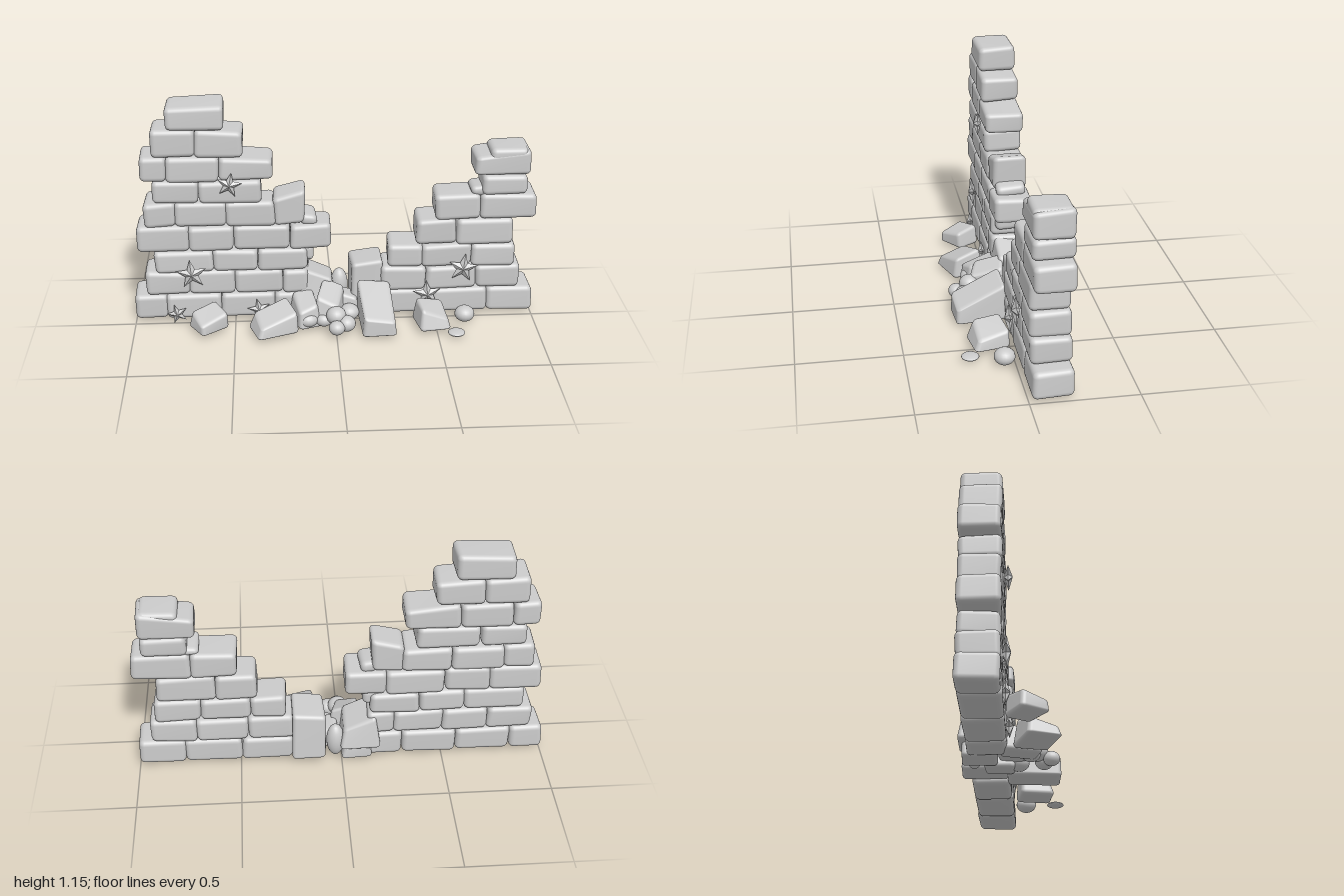
import * as THREE from 'three';
import { RoundedBoxGeometry } from 'three/addons/geometries/RoundedBoxGeometry.js';
import { mergeVertices } from 'three/addons/utils/BufferGeometryUtils.js';

const stone = new THREE.MeshStandardMaterial({ color: 0xcccccc });
const starMaterial = new THREE.MeshStandardMaterial({ color: 0xcccccc, flatShading: true });

let seed = 7;
const rand = () => {
  seed = (seed * 16807) % 2147483647;
  return (seed / 2147483647) * 2 - 1;
};

// Rounded block whose eight corners are shifted, blended through its volume.
// shift(i) gives the offset of corner i (bit 0: +x, bit 1: +y, bit 2: +z).
function stoneBlock(w, h, d, radius, shift) {
  let g = new RoundedBoxGeometry(w, h, d, 3, Math.min(radius, w * 0.45, h * 0.45, d * 0.45));
  g.deleteAttribute('normal');
  g.deleteAttribute('uv');
  g.clearGroups();
  g = mergeVertices(g, 1e-5);
  const corners = Array.from({ length: 8 }, (_, i) => shift(i));
  const p = g.attributes.position;
  const v = new THREE.Vector3();
  for (let n = 0; n < p.count; n++) {
    v.fromBufferAttribute(p, n);
    const t = [v.x / w + 0.5, v.y / h + 0.5, v.z / d + 0.5];
    corners.forEach((c, i) => {
      const weight = t.reduce((m, u, k) => m * ((i >> k) & 1 ? u : 1 - u), 1);
      v.addScaledVector(c, weight);
    });
    p.setXYZ(n, v.x, v.y, v.z);
  }
  g.computeVertexNormals();
  return g;
}

function add(parent, name, geometry, x, y, z, material = stone) {
  const mesh = new THREE.Mesh(geometry, material);
  mesh.name = name;
  mesh.position.set(x, y, z);
  parent.add(mesh);
  return mesh;
}

// Wall brick; dropLeft and dropRight lower its upper corners.
function brick(parent, x0, x1, y0, y1, dropLeft = 0, dropRight = 0, depth = 0.19) {
  const j = y0 < 0.02 ? 0.003 : 0.007;
  const g = stoneBlock(x1 - x0 + 0.002, y1 - y0 + 0.002, depth, 0.026, (i) =>
    new THREE.Vector3(rand() * 0.006, rand() * j - (i & 2 ? (i & 1 ? dropRight : dropLeft) : 0), rand() * 0.004));
  add(parent, 'brick', g, (x0 + x1) / 2, (y0 + y1) / 2, -0.11);
}

// Loose stone; heights are its top corners: back left, back right, front left, front right.
function rock(parent, { x, z, w, d, turn = 0, base = 0.01, heights, shrink = 0.18 }) {
  const h = Math.max(...heights) - base;
  const g = stoneBlock(w, h, d, 0.022, (i) => {
    const sx = i & 1 ? -1 : 1, sz = i & 4 ? -1 : 1;
    const top = i & 2 ? 1 : 0;
    const drop = top ? base + h - heights[(i & 1) + (i & 4 ? 2 : 0)] : 0;
    return new THREE.Vector3(
      sx * top * shrink * w * 0.5 + rand() * 0.012, -drop, sz * top * shrink * d * 0.5 + rand() * 0.012);
  });
  add(parent, 'rubbleRock', g, x, base + h / 2, z).rotation.y = turn;
}

// Five-pointed star with a raised centre on both sides.
function starGeometry(r, thickness) {
  const ring = [];
  for (let i = 0; i < 10; i++) {
    const a = Math.PI / 2 + (i * Math.PI) / 5, q = i % 2 ? r * 0.42 : r;
    ring.push([Math.cos(a) * q, Math.sin(a) * q, 0]);
  }
  const pos = [];
  ring.forEach((a, i) => {
    const b = ring[(i + 1) % 10];
    pos.push(...a, ...b, 0, 0, thickness, ...b, ...a, 0, 0, -thickness);
  });
  const g = new THREE.BufferGeometry();
  g.setAttribute('position', new THREE.Float32BufferAttribute(pos, 3));
  g.computeVertexNormals();
  return g;
}

export function createModel() {
  seed = 7;
  const model = new THREE.Group();
  model.name = 'ruinedWall';
  const group = (name) => {
    const g = new THREE.Group();
    g.name = name;
    model.add(g);
    return g;
  };

  // Each course lists the joints between its bricks.
  const courses = (parent, levels, rows, drops) => rows.forEach((joints, r) => {
    for (let i = 0; i + 1 < joints.length; i++) {
      const last = i === joints.length - 2;
      brick(parent, joints[i], joints[i + 1], levels[r], levels[r + 1], ...((last && drops[r]) || []));
    }
  });

  // Tall side
  const tall = group('tallWall');
  courses(tall, [0.01, 0.14, 0.265, 0.38, 0.51, 0.635, 0.75, 0.875, 1.01, 1.135], [
    [-1, -0.84, -0.57, -0.3, -0.13],
    [-0.94, -0.72, -0.5, -0.26, -0.13],
    [-0.89, -0.6, -0.38, -0.14],
    [-0.97, -0.72, -0.5, -0.22, -0.02],
    [-0.93, -0.78, -0.53, -0.29],
    [-0.88, -0.66, -0.36],
    [-0.94, -0.81, -0.56, -0.3],
    [-0.88, -0.67, -0.44],
    [-0.8, -0.53],
  ], { 6: [0, 0.025], 7: [0, 0.015], 8: [0.01, 0] });
  brick(tall, -0.3, -0.145, 0.51, 0.685, 0.04, 0, 0.17);
  brick(tall, -0.17, -0.09, 0.5, 0.56, 0, 0.015, 0.15);
  brick(tall, -0.2, -0.1, 0.31, 0.39, 0, 0, 0.15);

  // Low side
  const low = group('lowWall');
  courses(low, [0.01, 0.14, 0.265, 0.385, 0.52, 0.65, 0.75], [
    [0.24, 0.49, 0.77, 1],
    [0.235, 0.46, 0.71, 0.93],
    [0.27, 0.44, 0.68, 0.905],
    [0.405, 0.605, 0.89],
    [0.495, 0.715, 0.995],
    [0.73, 0.94],
  ], {});
  brick(low, 0.685, 0.955, 0.75, 0.89, 0.05, 0.005);
  brick(low, 0.76, 0.94, 0.82, 0.892, 0.01, 0.005, 0.18);
  brick(low, 0.675, 0.77, 0.64, 0.69, 0.01, 0, 0.15);

  // Fallen stones
  const rubble = group('rubble');
  [
    { x: -0.63, z: 0.09, w: 0.17, d: 0.14, turn: 0.57, heights: [0.1, 0.12, 0.06, 0.1] },
    { x: -0.305, z: 0.125, w: 0.22, d: 0.17, turn: 0.35, heights: [0.1, 0.15, 0.06, 0.12] },
    { x: 0.205, z: 0.1, w: 0.18, d: 0.26, turn: 0.08, heights: [0.22, 0.2, 0.11, 0.08], shrink: 0.1 },
    { x: 0.48, z: 0.095, w: 0.16, d: 0.17, turn: 0.15, heights: [0.13, 0.1, 0.12, 0.06] },
    { x: 0.16, z: -0.135, w: 0.18, d: 0.22, base: 0.03, heights: [0.27, 0.29, 0.28, 0.3] },
    { x: -0.09, z: -0.13, w: 0.2, d: 0.23, base: 0.08, heights: [0.25, 0.18, 0.27, 0.2] },
    { x: -0.08, z: -0.15, w: 0.16, d: 0.18, heights: [0.09, 0.08, 0.11, 0.1] },
    { x: -0.025, z: 0.03, w: 0.14, d: 0.19, turn: -0.3, base: 0.04, heights: [0.21, 0.17, 0.16, 0.12] },
    { x: -0.15, z: 0.04, w: 0.12, d: 0.17, turn: 0.3, heights: [0.15, 0.16, 0.1, 0.13] },
    { x: 0.06, z: -0.06, w: 0.12, d: 0.14, heights: [0.12, 0.1, 0.14, 0.11] },
  ].forEach((r) => rock(rubble, r));

  // Pebbles: x, y, z, radius, height radius
  [
    [0, 0.045, 0.185, 0.04, 0.035], [0.05, 0.05, 0.15, 0.045, 0.04], [0, 0.08, 0.12, 0.05, 0.045],
    [-0.14, 0.05, 0.09, 0.055, 0.04], [0.03, 0.1, -0.18, 0.045, 0.09], [0.65, 0.035, 0.05, 0.05, 0.04],
    [0.59, 0.012, 0.2, 0.042, 0.012], [-0.06, 0.045, 0.09, 0.045, 0.035], [0.07, 0.05, 0.03, 0.05, 0.04],
  ].forEach(([x, y, z, r, h]) => {
    add(rubble, 'pebble', new THREE.SphereGeometry(r, 20, 14), x, y, z).scale.y = h / r;
  });

  // Stars on the front face: x, y, radius, tilt
  const stars = group('stars');
  [
    [-0.51, 0.74, 0.065, -0.2], [-0.71, 0.265, 0.08, 0.1], [-0.79, 0.045, 0.055, 0.3],
    [0.64, 0.265, 0.08, -0.15], [0.465, 0.125, 0.075, 0.1], [-0.38, 0.06, 0.06, 0.2],
  ].forEach(([x, y, r, tilt]) => {
    add(stars, 'star', starGeometry(r, 0.02), x, y, 0, starMaterial).rotation.z = tilt;
  });

  return model;
}
